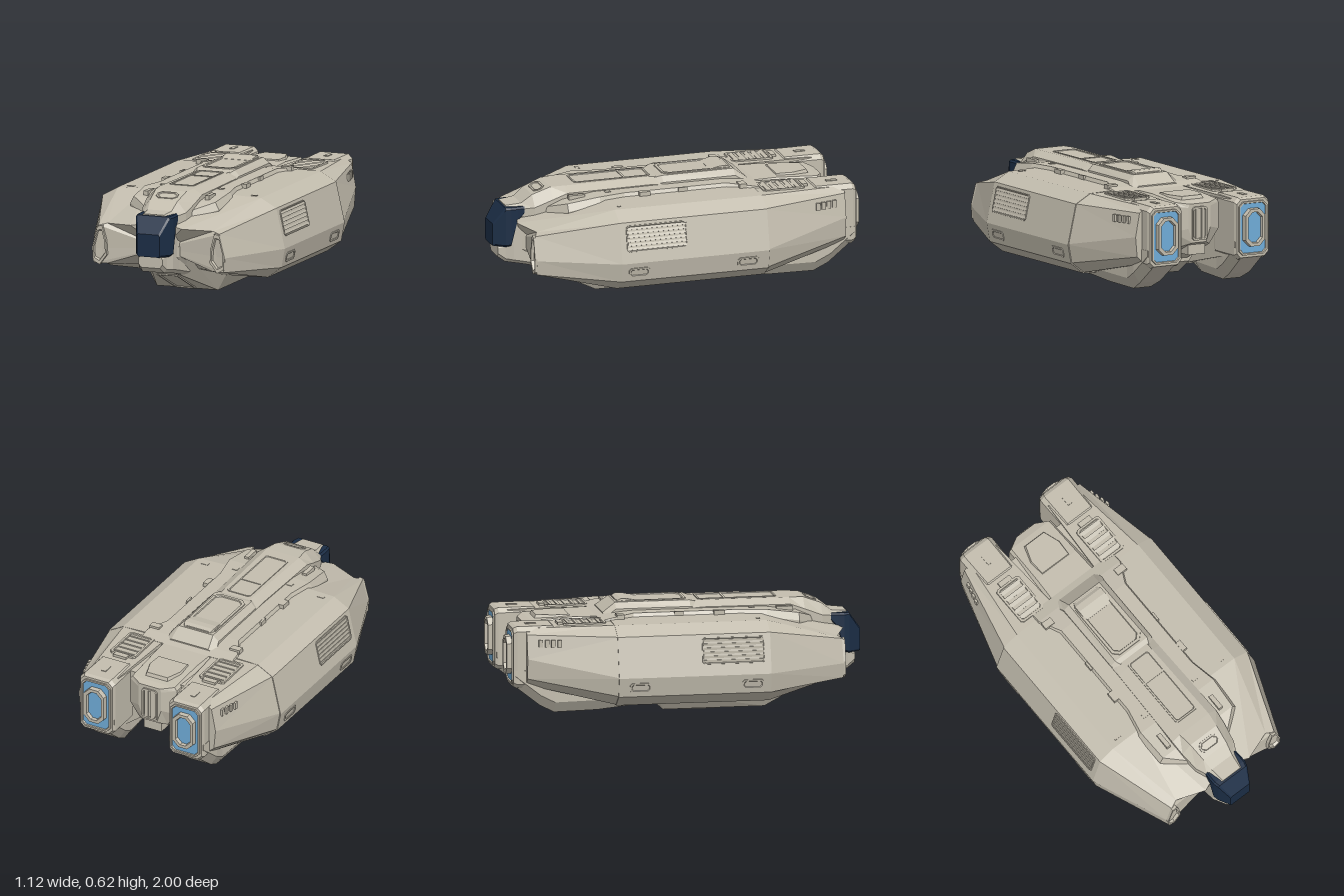
import * as THREE from 'three';

const paint = (color) => new THREE.MeshStandardMaterial({ color, flatShading: true });
const HULL = paint(0xc3bdae), GLASS = paint(0x1b2d45), GLOW = paint(0x70acd8);

// Skin a row of closed rings of [x, y, z] points and cap both ends; always faces outward.
function loft(name, rings, material = HULL) {
  const tris = [], n = rings[0].length;
  const mid = (r) => [0, 1, 2].map((j) => r.reduce((sum, p) => sum + p[j], 0) / n);
  const first = rings[0], last = rings[rings.length - 1], cf = mid(first), cl = mid(last);
  for (let k = 0; k < n; k++) {
    const m = (k + 1) % n;
    for (let i = 0; i + 1 < rings.length; i++) {
      const [a, b, c, d] = [rings[i][k], rings[i][m], rings[i + 1][m], rings[i + 1][k]];
      tris.push([a, b, c], [a, c, d]);
    }
    tris.push([cf, first[m], first[k]], [cl, last[k], last[m]]);
  }
  const volume = tris.reduce((sum, [a, b, c]) => sum
    + a[0] * (b[1] * c[2] - b[2] * c[1]) + a[1] * (b[2] * c[0] - b[0] * c[2]) + a[2] * (b[0] * c[1] - b[1] * c[0]), 0);
  if (volume < 0) tris.forEach((t) => t.reverse());
  const geometry = new THREE.BufferGeometry();
  geometry.setAttribute('position', new THREE.Float32BufferAttribute(tris.flat(2), 3));
  geometry.computeVertexNormals();
  const mesh = new THREE.Mesh(geometry, material);
  mesh.name = name;
  return mesh;
}

// Ring at depth z from the right half of a symmetric section, top to bottom.
const symmetric = (z, half) => {
  const right = half.map(([x, y, dz = 0]) => [x, y, z + dz]);
  const left = right.filter((p) => p[0] > 0).reverse().map(([x, y, w]) => [-x, y, w]);
  return [...right, ...left];
};
const flipX = (rings, s) => rings.map((r) => r.map(([x, y, z]) => [x * s, y, z]));

// Chamfered rectangle in the local xz plane.
function octagon(w, l, c, y) {
  const a = w / 2, b = l / 2;
  return [[a - c, b], [a, b - c], [a, c - b], [a - c, -b], [c - a, -b], [-a, c - b], [-a, b - c], [c - a, b]]
    .map(([x, z]) => [x, y, z]);
}

// Rimmed, recessed panel facing local +y, optionally with slats or a glowing floor.
function panel(name, w, l, h, { rim = 0.012, chamfer = 0.012, slats = 0, alongZ = false, glow = false } = {}) {
  const group = new THREE.Group();
  group.name = name;
  const iw = w - 2 * rim, il = l - 2 * rim;
  group.add(loft('rim', [octagon(w, l, chamfer, -0.02), octagon(w - 0.006, l - 0.006, chamfer, h),
    octagon(iw, il, chamfer * 0.8, h), octagon(iw - 0.006, il - 0.006, chamfer * 0.8, h * 0.25)]));
  if (glow) {
    group.add(loft('glow', [0, h * 0.35].map((y) => octagon(iw - 0.004, il - 0.004, chamfer * 0.8, y)), GLOW));
  }
  for (let i = 0; i < slats; i++) {
    const span = alongZ ? iw : il, t = ((i + 0.5) / slats - 0.5) * span, thick = span / slats * 0.55;
    const slat = new THREE.Mesh(new THREE.BoxGeometry(alongZ ? thick : iw, h * 0.7, alongZ ? il : thick), HULL);
    slat.name = 'slat';
    slat.position.set(alongZ ? t : 0, h * 0.55, alongZ ? 0 : t);
    slat.rotation.set(alongZ ? 0 : 0.25, 0, alongZ ? 0.25 : 0);
    group.add(slat);
  }
  return group;
}

export function createModel() {
  const model = new THREE.Group();
  model.name = 'spacecraft';
  const place = (object, x, y, z, rx = 0, rz = 0) => {
    object.position.set(x, y, z);
    object.rotation.set(rx, 0, rz);
    model.add(object);
  };
  const box = (name, w, h, l, x, y, z, material = HULL) => {
    const mesh = new THREE.Mesh(new THREE.BoxGeometry(w, h, l), material);
    mesh.name = name;
    place(mesh, x, y, z);
  };

  // Main hull: faceted shell whose front underside is swept back between the two prongs
  const wide = [[0, 0.55], [0.25, 0.545], [0.42, 0.54], [0.51, 0.49], [0.56, 0.27], [0.54, 0.165], [0.46, 0.105], [0.2, 0.1], [0, 0.1]];
  const prow = [[0, 0.45, -0.02], [0.15, 0.43, 0.04], [0.31, 0.42, -0.02], [0.355, 0.41], [0.39, 0.28], [0.38, 0.2], [0.31, 0.2, -0.01], [0.2, 0.17, -0.2], [0, 0.17, -0.2]];
  model.add(loft('mainHull', [symmetric(0.85, prow), symmetric(0.42, wide), symmetric(-0.42, wide)]));

  // Raised deck, stepping up from the hull around the spine
  const deck = [[0.72, 0.13, 0.5], [0.63, 0.24, 0.54], [0.45, 0.25, 0.565], [0.3, 0.22, 0.565], [-0.28, 0.22, 0.565], [-0.4, 0.28, 0.555], [-0.47, 0.28, 0.54]];
  model.add(loft('deck', deck.map(([z, w, y]) => symmetric(z, [[w, y], [w + 0.02, y - 0.04], [w + 0.02, 0.4]]))));

  // Spine and dorsal block: [z, top half-width, top y, shoulder half-width, shoulder y]
  const ridge = (rows, base) => rows.map(([z, tw, ty, mw, my]) => symmetric(z, [[tw, ty], [mw, my], [mw, base]]));
  model.add(loft('spine', ridge([[0.925, 0.06, 0.507, 0.07, 0.497], [0.84, 0.07, 0.515, 0.102, 0.49], [0.78, 0.08, 0.56, 0.13, 0.5], [0.68, 0.09, 0.597, 0.145, 0.54],
    [0.6, 0.1, 0.6, 0.15, 0.57], [0.12, 0.09, 0.6, 0.14, 0.57], [0, 0.09, 0.595, 0.14, 0.56]], 0.3)));
  model.add(loft('dorsalBlock', ridge([[0.1, 0.09, 0.59, 0.12, 0.56], [0.05, 0.11, 0.606, 0.14, 0.575],
    [-0.36, 0.105, 0.606, 0.14, 0.575], [-0.43, 0.115, 0.555, 0.16, 0.53]], 0.45)));
  place(panel('spineHatch', 0.15, 0.44, 0.006), 0, 0.598, 0.32);
  box('spineHatchBar', 0.13, 0.006, 0.012, 0, 0.601, 0.25);
  place(panel('dorsalHatch', 0.2, 0.39, 0.007, { rim: 0.018, chamfer: 0.03 }), 0, 0.605, -0.155);
  model.add(loft('dorsalCap', [[-0.23, 0.085, 0.608], [-0.29, 0.09, 0.621], [-0.325, 0.09, 0.621], [-0.35, 0.08, 0.608]]
    .map(([z, w, y]) => symmetric(z, [[w, y], [w + 0.005, 0.59]]))));
  place(panel('browPlate', 0.13, 0.07, 0.005, { chamfer: 0.02 }), 0, 0.578, 0.73, 0.354);

  // Nose and cockpit glass: [z, half-width, bottom y, top y]
  const blunt = (rows, inset, bevel) => rows.map(([z, w, y0, y1]) =>
    symmetric(z, [[w * inset, y1], [w, y1 - bevel], [w, y0 + bevel], [w * inset, y0]]));
  model.add(loft('nose', blunt([[0.97, 0.07, 0.22, 0.29], [0.93, 0.08, 0.19, 0.3], [0.89, 0.1, 0.185, 0.42], [0.82, 0.105, 0.17, 0.49], [0.7, 0.12, 0.14, 0.5]], 0.8, 0.02)));
  model.add(loft('cockpitGlass', blunt([[1, 0.066, 0.285, 0.41], [0.935, 0.1, 0.28, 0.5], [0.905, 0.108, 0.285, 0.502], [0.87, 0.108, 0.42, 0.502], [0.82, 0.105, 0.47, 0.502]], 0.9, 0.01), GLASS));
  for (const s of [1, -1]) box('glassRib', 0.012, 0.11, 0.012, s * 0.045, 0.345, 0.994, GLASS);

  // Keel: [z, floor half-width, floor y, shoulder half-width, shoulder y]
  const keel = [[0.88, 0.06, 0.19, 0.09, 0.27], [0.75, 0.08, 0.15, 0.14, 0.25], [0.45, 0.18, 0.02, 0.25, 0.15], [-0.11, 0.18, 0.02, 0.25, 0.12],
    [-0.16, 0.16, 0.065, 0.22, 0.13], [-0.46, 0.12, 0.07, 0.2, 0.14], [-0.6, 0.1, 0.15, 0.15, 0.22]];
  model.add(loft('keel', keel.map(([z, w, y, sw, sy]) => symmetric(z, [[sw, 0.32], [sw, sy], [w, y]]))));
  place(panel('bellyHatch', 0.21, 0.22, 0.016, { rim: 0.025, chamfer: 0.02, slats: 3 }), 0, 0.018, 0.1, Math.PI);
  place(panel('chinIntake', 0.13, 0.3, 0.008, { rim: 0.012 }), 0, 0.087, 0.6, Math.PI - 0.41);
  place(panel('aftBellyPanel', 0.16, 0.2, 0.008), 0, 0.067, -0.3, Math.PI);

  // Tail between the engines, with a low deck bridging to the pods
  const tail = [[-0.4, 0.16, 0.13, 0.54], [-0.6, 0.15, 0.17, 0.54], [-0.83, 0.145, 0.28, 0.525], [-0.87, 0.07, 0.3, 0.515]];
  model.add(loft('tail', tail.map(([z, w, y0, y1]) => symmetric(z, [[w * 0.9, y1], [w, y1 - 0.02], [w, y0 + 0.08], [w * 0.6, y0]]))));
  box('tailBridge', 0.4, 0.12, 0.36, 0, 0.458, -0.6);
  model.add(loft('tailCover', [[1, 0.52], [0.9, 0.546]].map(([k, y]) =>
    [[0.1, -0.6], [0.105, -0.7], [0.07, -0.8], [-0.07, -0.8], [-0.105, -0.7], [-0.1, -0.6]].map(([x, z]) => [x * k, y, (z + 0.7) * k - 0.7]))));
  place(panel('tailDoor', 0.1, 0.19, 0.01, { slats: 2, alongZ: true }), 0, 0.405, -0.868, -Math.PI / 2);
  box('tailBlock', 0.11, 0.1, 0.16, 0, 0.28, -0.76);

  for (const s of [1, -1]) {
    // Engine pod: continues the hull shell aft, then steps in to the nacelle
    const pod = [
      [-0.4, [[0.15, 0.54], [0.42, 0.54], [0.51, 0.49], [0.56, 0.27], [0.54, 0.165], [0.46, 0.105], [0.17, 0.1]]],
      [-0.9, [[0.18, 0.53], [0.36, 0.53], [0.4, 0.5], [0.425, 0.37], [0.415, 0.26], [0.37, 0.22], [0.18, 0.22]]],
    ].map(([z, r]) => r.map(([x, y]) => [x, y, z]));
    model.add(loft('enginePod', flipX(pod, s)));
    const cowl = [[-0.73, 0.19, 0.15], [-0.75, 0.21, 0.17], [-0.95, 0.215, 0.17], [-0.97, 0.2, 0.16]].map(([z, w, h]) =>
      octagon(w, 2 * h, 0.025, z).map(([x, d, y]) => [x + 0.277, y + 0.37, d]));
    model.add(loft('engineCowl', flipX(cowl, s)));

    // Exhaust: glowing plate with a chamfered nozzle ring around a glowing core
    place(panel('exhaustPlate', 0.185, 0.3, 0.01, { chamfer: 0.025, glow: true }), s * 0.277, 0.37, -0.968, -Math.PI / 2);
    place(panel('exhaustNozzle', 0.13, 0.21, 0.03, { rim: 0.02, chamfer: 0.035, glow: true }), s * 0.277, 0.375, -0.97, -Math.PI / 2);

    // Lobe slung under the engine
    const lobe = [[-0.22, 0.3, 0.42, 0.105], [-0.5, 0.22, 0.37, 0.065], [-0.74, 0.21, 0.36, 0.058], [-0.82, 0.2, 0.37, 0.1], [-0.96, 0.19, 0.365, 0.21]]
      .map(([z, x0, x1, y]) => [[x0 - 0.02, 0.3, z], [x1 + 0.02, 0.3, z], [x1 + 0.02, y + 0.06, z], [x1 - 0.02, y, z], [x0 + 0.02, y, z], [x0 - 0.02, y + 0.06, z]]);
    model.add(loft('engineLobe', flipX(lobe, s)));

    // Prong mouth: hollow frame at the front corner of the hull
    const mouth = [[0.33, 0.412], [0.358, 0.405], [0.388, 0.29], [0.383, 0.215], [0.345, 0.195], [0.303, 0.25], [0.308, 0.33]];
    const scaled = (k, z) => mouth.map(([x, y]) => [0.348 + (x - 0.348) * k, 0.3 + (y - 0.3) * k, z]);
    model.add(loft('prongMouth', flipX([scaled(1, 0.78), scaled(1, 0.862), scaled(0.8, 0.862), scaled(0.72, 0.845)], s)));

    // Side vents and ports, tilted to lie flush on the hull
    const out = -s * (Math.PI / 2 - 0.22), under = -s * (Math.PI / 2 + 0.19);
    place(panel('sideVent', 0.15, 0.35, 0.005, { rim: 0.008, slats: 6, alongZ: true }), s * 0.53, 0.402, 0.215, 0, out);
    for (const z of [0.32, -0.3]) place(panel('sidePort', 0.06, 0.125, 0.004), s * 0.549, 0.215, z, 0, under);
    for (let i = 0; i < 4; i++) box('sideGill', 0.012, 0.04, 0.022, s * (0.455 - i * 0.009), 0.455, -0.73 - i * 0.033);

    // Top vents, cowl latch and small deck fittings
    place(panel('topVent', 0.16, 0.24, 0.008, { rim: 0.015, slats: 5 }), s * 0.277, 0.537, -0.57);
    box('ventHinge', 0.08, 0.02, 0.03, s * 0.277, 0.538, -0.7);
    box('cowlLatch', 0.025, 0.008, 0.06, s * 0.277, 0.54, -0.86);
    for (const [x, z, w, l] of [[0.18, 0.56, 0.025, 0.09], [0.235, 0.19, 0.03, 0.06], [0.17, 0.38, 0.03, 0.03], [0.23, -0.03, 0.012, 0.05], [0.36, 0.38, 0.04, 0.02], [0.25, -0.36, 0.06, 0.04]]) {
      box('deckFitting', w, 0.06, l, s * x, x > 0.3 ? 0.514 : 0.538, z);
    }

    // Pipes along the underside
    const pipe = new THREE.CatmullRomCurve3([[0.26, 0.11, 0.35], [0.28, 0.1, 0.1], [0.25, 0.1, -0.15], [0.2, 0.11, -0.4]].map(([x, y, z]) => new THREE.Vector3(s * x, y, z)));
    const tube = new THREE.Mesh(new THREE.TubeGeometry(pipe, 12, 0.012, 6), HULL);
    tube.name = 'bellyPipe';
    model.add(tube);
  }
  return model;
}
